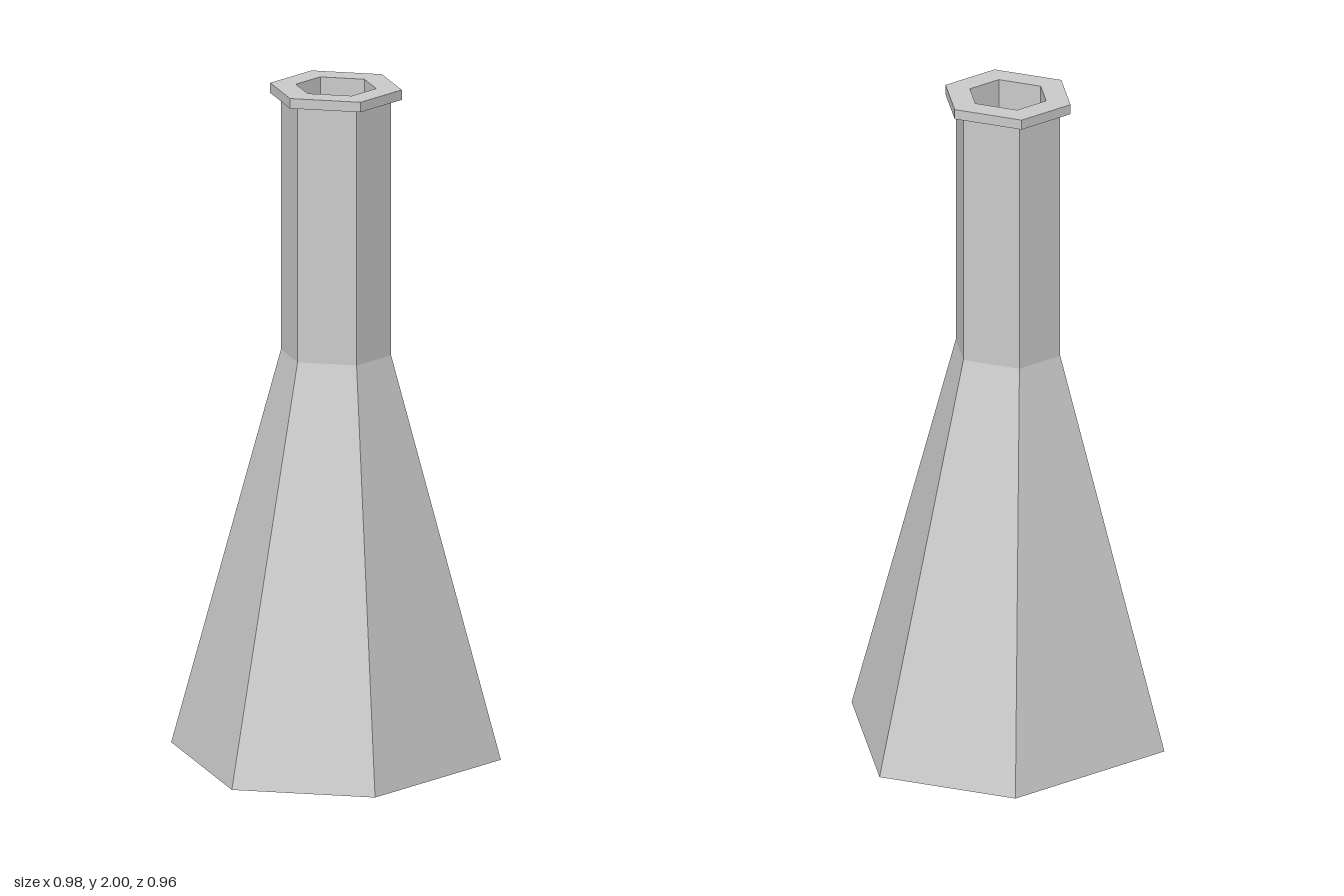
import * as THREE from 'three';

// Six corners of a hexagon with parallel sides: half width a, half depth d, height y.
function hexRing([a, d, y]) {
  const h = Math.max(a - d / Math.sqrt(3), 0);
  return [[a, 0], [h, -d], [-h, -d], [-a, 0], [-h, d], [h, d]]
    .map(([x, z]) => new THREE.Vector3(x, y, z));
}

// Skin a series of rings with flat faces; rising rings face outward.
function loftHex(name, profile, material) {
  const rings = profile.map(hexRing);
  const points = [];
  const triangle = (a, b, c) => {
    if (a.distanceTo(b) > 1e-6 && b.distanceTo(c) > 1e-6 && c.distanceTo(a) > 1e-6) points.push(a, b, c);
  };
  for (let i = 0; i < rings.length - 1; i++) {
    for (let j = 0; j < 6; j++) {
      const k = (j + 1) % 6;
      triangle(rings[i][j], rings[i][k], rings[i + 1][k]);
      triangle(rings[i][j], rings[i + 1][k], rings[i + 1][j]);
    }
  }
  const geometry = new THREE.BufferGeometry().setFromPoints(points);
  geometry.computeVertexNormals();
  const mesh = new THREE.Mesh(geometry, material);
  mesh.name = name;
  return mesh;
}

export function createModel() {
  const group = new THREE.Group();
  group.name = 'hexagonalFlask';
  const material = new THREE.MeshStandardMaterial({ color: 0xcccccc, flatShading: true });

  // Closed base, tapered body and straight neck
  group.add(loftHex('body', [
    [0, 0, 0], [0.488, 0.478, 0], [0.163, 0.131, 1.2], [0.163, 0.131, 1.97],
  ], material));

  // Projecting lip with the mouth cut through it
  group.add(loftHex('rim', [
    [0.163, 0.131, 1.97], [0.195, 0.157, 1.97], [0.195, 0.157, 2], [0.119, 0.093, 2],
  ], material));

  // Hollow inside: down the neck, flaring to the floor
  group.add(loftHex('interior', [
    [0.119, 0.093, 2], [0.119, 0.093, 1.2], [0.43, 0.425, 0.05], [0, 0, 0.05],
  ], material));

  return group;
}
